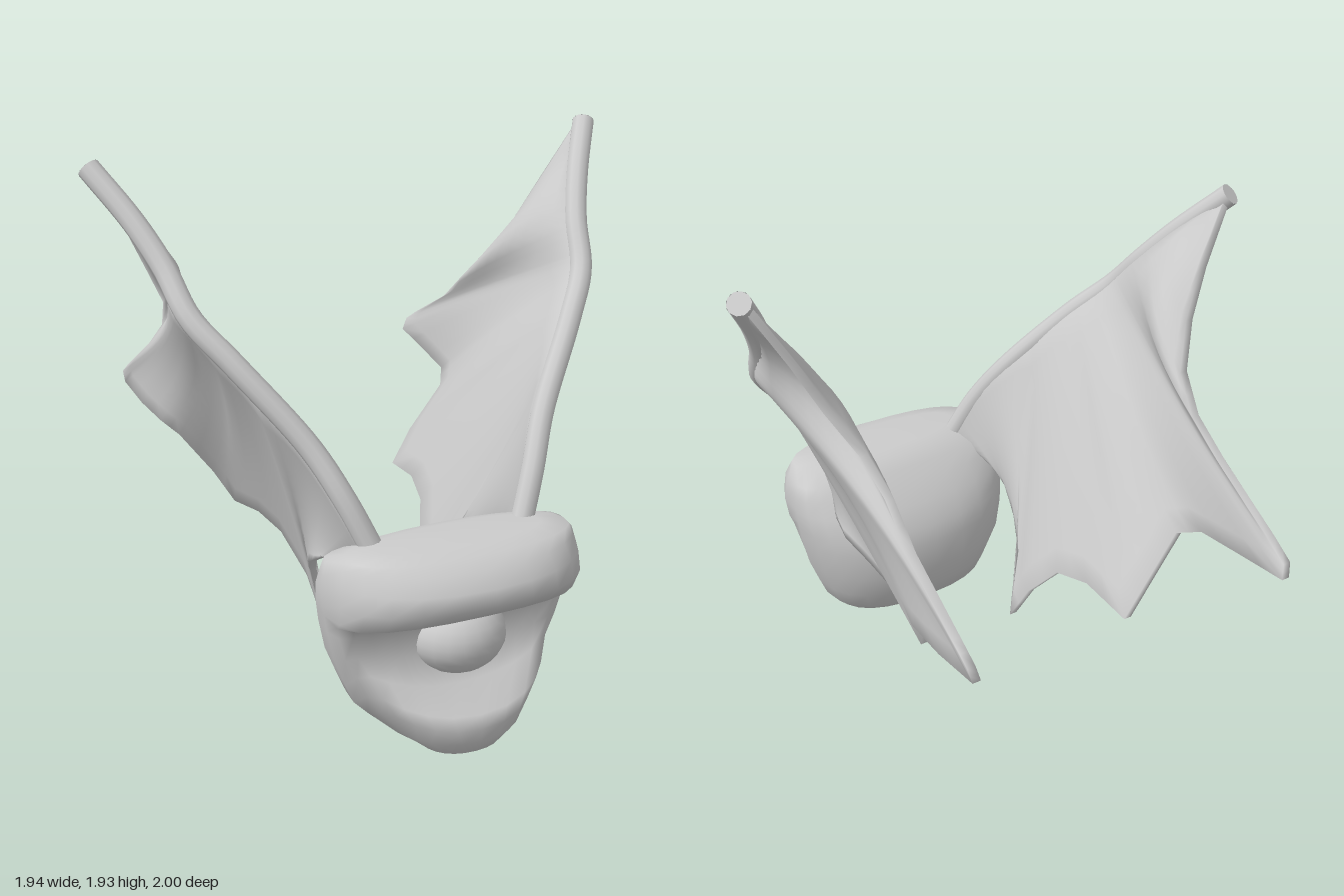
import * as THREE from 'three';

const material = new THREE.MeshStandardMaterial({ color: 0xcccccc, side: THREE.DoubleSide });
const V = (p) => new THREE.Vector3(...p.slice(0, 3));

function addMesh(parent, name, geometry) {
  const mesh = new THREE.Mesh(geometry, material);
  mesh.name = name;
  parent.add(mesh);
  return mesh;
}

// Skin closed rings of equal length and cap both ends.
function loft(rings, flip = false) {
  const n = rings[0].length, pos = rings.flat().flatMap((p) => [p.x, p.y, p.z]), index = [];
  const tri = (a, b, c) => (flip ? index.push(a, c, b) : index.push(a, b, c));
  for (let r = 0; r < rings.length - 1; r++) {
    for (let i = 0; i < n; i++) {
      const a = r * n + i, b = r * n + (i + 1) % n;
      tri(a, a + n, b);
      tri(b, a + n, b + n);
    }
  }
  [0, rings.length - 1].forEach((r, end) => {
    const c = new THREE.Vector3();
    rings[r].forEach((p) => c.addScaledVector(p, 1 / n));
    const k = pos.length / 3;
    pos.push(c.x, c.y, c.z);
    for (let i = 0; i < n; i++) {
      const a = r * n + i, b = r * n + (i + 1) % n;
      end ? tri(a, k, b) : tri(a, b, k);
    }
  });
  const g = new THREE.BufferGeometry();
  g.setAttribute('position', new THREE.Float32BufferAttribute(pos, 3));
  g.setIndex(index);
  g.computeVertexNormals();
  return g;
}

// Body levels: height, half width, back z, front z, rise of the front towards the cheeks, front roundness
const levels = [
  [0.005, 0.04, 0.74, 0.82, 0, 1], [0.03, 0.14, 0.66, 0.88, 0, 1], [0.08, 0.22, 0.56, 0.91, 0.02, 0.9],
  [0.13, 0.29, 0.47, 0.92, 0.06, 0.9], [0.18, 0.34, 0.41, 0.91, 0.09, 0.9], [0.25, 0.37, 0.38, 0.80, 0.09, 0.6],
  [0.35, 0.41, 0.35, 0.75, 0.04, 0.4], [0.46, 0.435, 0.36, 0.76, 0, 0.4], [0.52, 0.445, 0.38, 0.81, -0.03, 0.6],
  [0.55, 0.45, 0.40, 0.94, -0.04, 0.8], [0.605, 0.455, 0.43, 1.0, -0.015, 0.8], [0.66, 0.45, 0.49, 0.985, 0, 0.8],
  [0.71, 0.44, 0.54, 0.94, 0, 0.8], [0.74, 0.40, 0.59, 0.89, 0, 0.8], [0.755, 0.30, 0.64, 0.83, 0, 0.8],
];

function bodyGeometry() {
  const n = 24;
  const rings = levels.map(([y, w, zb, zf, rise, round]) => {
    const ring = [];
    const zc = zb > 0.54 ? (zb + zf) / 2 : 0.65;
    for (let i = 0; i < n; i++) {
      const a = (i / n) * Math.PI * 2, c = Math.cos(a), s = Math.sin(a);
      const z = s > 0 ? zc + (zf - zc) * s ** round : zc - (zc - zb) * (-s) ** 0.8;
      const lift = s > 0 ? rise * c * c * Math.min(1, s * 2.5) : 0;
      ring.push(new THREE.Vector3(-0.03 + w * Math.sign(c) * Math.abs(c) ** 0.9, y + lift, z));
    }
    return ring;
  });
  return loft(rings);
}

// Arm centre line, shoulder to tip
const armPoints = [
  [0.23, 0.70, 0.69], [0.31, 0.88, 0.63], [0.40, 1.05, 0.54], [0.60, 1.31, 0.38],
  [0.71, 1.45, 0.27], [0.76, 1.60, 0.15], [0.83, 1.74, 0.04], [0.94, 1.905, -0.10],
];

// Trailing edge: x, y, z, matching place along the arm, outward bulge of the skin
const edgePoints = [
  [0.33, 0.64, 0.48, 0.02, 0], [0.34, 0.595, 0.39, 0.12, 0], [0.31, 0.54, 0.27, 0.22, 0],
  [0.27, 0.46, 0.16, 0.31, 0], [0.20, 0.225, 0.09, 0.38, 0], [0.23, 0.38, 0.01, 0.41, -0.005],
  [0.29, 0.52, -0.10, 0.44, -0.01], [0.33, 0.555, -0.25, 0.47, -0.015], [0.36, 0.53, -0.47, 0.5, -0.02],
  [0.44, 0.66, -0.475, 0.535, -0.04], [0.57, 0.83, -0.465, 0.575, -0.055], [0.62, 0.87, -0.55, 0.6, -0.05],
  [0.645, 0.89, -0.75, 0.615, -0.045], [0.66, 0.92, -0.965, 0.625, -0.04], [0.67, 0.97, -0.95, 0.635, -0.04],
  [0.665, 1.02, -0.86, 0.65, -0.04], [0.645, 1.16, -0.58, 0.69, -0.045], [0.625, 1.27, -0.42, 0.74, -0.06],
  [0.645, 1.38, -0.30, 0.79, -0.06], [0.72, 1.52, -0.21, 0.85, -0.045], [0.80, 1.68, -0.16, 0.91, -0.015],
  [0.92, 1.89, -0.11, 0.98, 0],
];

// The opposite wing is mirrored, leans back and turns slightly inwards.
function place(p, side) {
  const q = p.clone();
  if (side > 0) return q;
  const lean = 0.045;
  q.z = p.z - (p.y - 0.2) * lean;
  q.y = p.y + (p.z - 0.6) * lean;
  q.x = -p.x - 0.1 * p.z;
  return q;
}

function wing(side) {
  const group = new THREE.Group();
  group.name = side > 0 ? 'leftWing' : 'rightWing';
  const base = new THREE.CatmullRomCurve3(armPoints.map(V));
  const arm = new THREE.CatmullRomCurve3(armPoints.map((p) => place(V(p), side)));
  addMesh(group, 'wingArm', new THREE.TubeGeometry(arm, 40, 0.04, 10));

  // Blunt end of the arm
  const tip = addMesh(group, 'wingArmTip', new THREE.CircleGeometry(0.04, 10));
  tip.position.copy(arm.getPoint(1));
  tip.quaternion.setFromUnitVectors(new THREE.Vector3(0, 0, 1), arm.getTangent(1));

  // Folded membrane, thick and flush at the arm, thin at the trailing edge
  const steps = 10;
  const rows = [];
  for (let k = 0; k < edgePoints.length * 2 - 1; k++) {
    const a = edgePoints[k >> 1], b = edgePoints[(k + 1) >> 1];
    const e = V(a).lerp(V(b), 0.5), t = (a[3] + b[3]) / 2, bulge = (a[4] + b[4]) / 2;
    const start = base.getPointAt(t), row = [];
    for (const face of [1, -1]) {
      for (let i = 0; i <= steps; i++) {
        const v = face > 0 ? i / steps : 1 - i / steps;
        const p = start.clone().lerp(e, v);
        p.x += bulge * Math.sin(Math.PI * v) + face * (0.015 + 0.023 * (1 - v) ** 3);
        row.push(place(p, side));
      }
    }
    rows.push(row);
  }
  addMesh(group, 'wingMembrane', loft(rows, side < 0));
  return group;
}

export function createModel() {
  const model = new THREE.Group();
  model.name = 'wingedEye';
  addMesh(model, 'body', bodyGeometry());
  const eye = addMesh(model, 'eyeball', new THREE.SphereGeometry(1, 20, 14));
  eye.scale.set(0.17, 0.135, 0.16);
  eye.position.set(-0.025, 0.4, 0.72);
  model.add(wing(1), wing(-1));
  return model;
}
